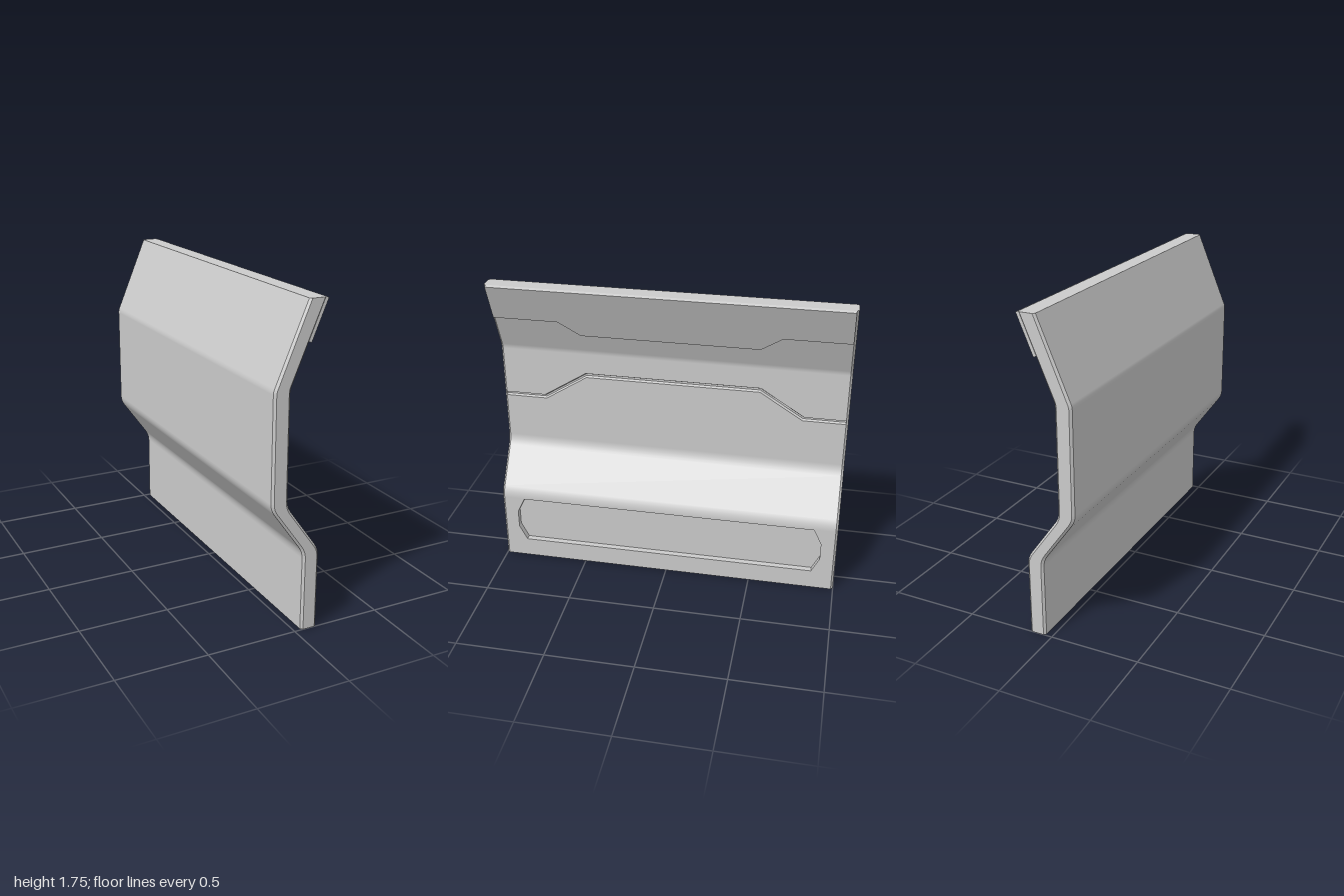
import * as THREE from 'three';

const material = new THREE.MeshStandardMaterial({ color: 0xcccccc, side: THREE.DoubleSide });
const V3 = (x, y, z) => new THREE.Vector3(x, y, z);
const V2 = (x, y) => new THREE.Vector2(x, y);
const BEVEL = 0.012, ZF = 1 - BEVEL, THICK = 0.0925;

// Surface through rows of points; flat shaded unless normals per point are given
function strip(rows, normals, skip = []) {
  const w = rows[0].length, idx = [];
  for (let r = 0; r < rows.length - 1; r++) {
    if (skip.includes(r)) continue;
    for (let c = 0; c < w - 1; c++) {
      const a = r * w + c, b = a + 1, d = a + w, e = d + 1;
      idx.push(a, b, e, a, e, d);
    }
  }
  let g = new THREE.BufferGeometry().setFromPoints(rows.flat());
  g.setIndex(idx);
  if (normals) {
    const flat = normals.flatMap((n) => Array(w).fill(n)).flatMap((n) => [n.x, n.y, 0]);
    g.setAttribute('normal', new THREE.Float32BufferAttribute(flat, 3));
  } else {
    g = g.toNonIndexed();
    g.computeVertexNormals();
  }
  return g;
}

// Flat outline (z, y) facing +x at a given x
function facePlate(points, x, hole) {
  const s = new THREE.Shape(points);
  if (hole) s.holes.push(new THREE.Path(hole));
  return new THREE.ShapeGeometry(s).rotateY(Math.PI / 2).translate(x, 0, 0);
}

// Mirror a half outline, given from the outside (+) to the middle
const mirror = (half) => [...half, ...half.slice().reverse().map((p) => V2(-p.x, p.y))];

export function createModel() {
  const group = new THREE.Group();
  const add = (name, geometry) => {
    const m = new THREE.Mesh(geometry, material);
    m.name = name;
    group.add(m);
    return m;
  };

  // Wall section: straight runs joined by rounded bends
  const bends = [
    [V2(0.13, 0.405), V2(0.13, 0.442), V2(0.108, 0.473)],
    [V2(-0.038, 0.677), V2(-0.06, 0.708), V2(-0.06, 0.74)],
    [V2(-0.06, 1.3), V2(-0.06, 1.315), V2(-0.0537, 1.33)],
  ];
  const pts = [V2(0.13, 0)], tans = [V2(0, 1)];
  for (const b of bends) {
    const c = new THREE.QuadraticBezierCurve(...b);
    for (let i = 0; i <= 4; i++) {
      pts.push(c.getPoint(i / 4));
      tans.push(c.getTangent(i / 4));
    }
  }
  pts.push(V2(0.1227, 1.75));
  tans.push(V2(0.42, 1).normalize());
  const last = pts.length - 1;
  const nFront = tans.map((t) => V2(t.y, -t.x));
  const nBack = nFront.map((n) => n.clone().negate());
  const back = pts.map((p) => V2(p.x - THICK, p.y));
  const inset = (list, norms) => list.map((p, i) => {
    const q = p.clone().addScaledVector(norms[i], -BEVEL);
    if (i === 0 || i === last) q.y = p.y;
    return q;
  });
  const frontIn = inset(pts, nFront), backIn = inset(back, nBack);
  const at = (p, z) => V3(p.x, p.y, z);

  // Main skins; the two vertical runs of the detailed side are added below
  add('detailedSideBends', strip(pts.map((p) => [at(p, ZF), at(p, -ZF)]), nFront, [0, 10]));
  add('plainSide', strip(back.map((p) => [at(p, -ZF), at(p, ZF)]), nBack));

  // Bevelled ends
  for (const s of [1, -1]) {
    const rows = pts.map((p, i) => {
      const row = [at(back[i], s * ZF), at(backIn[i], s), at(frontIn[i], s), at(p, s * ZF)];
      return s > 0 ? row : row.reverse();
    });
    add(s > 0 ? 'frontEnd' : 'backEnd', strip(rows));
  }

  // Top and bottom edges
  for (const i of [0, last]) {
    const rows = [
      [at(backIn[i], 1), at(frontIn[i], 1)], [at(back[i], ZF), at(pts[i], ZF)],
      [at(back[i], -ZF), at(pts[i], -ZF)], [at(backIn[i], -1), at(frontIn[i], -1)],
    ];
    add(i ? 'topEdge' : 'bottomEdge', strip(i ? rows : rows.reverse()));
  }

  // Lower run with a long recessed panel
  const recess = mirror([V2(0.865, 0.115), V2(0.91, 0.205), V2(0.91, 0.31), V2(0.865, 0.402)]
    .reverse()).slice();
  const outline = [V2(-ZF, 0), V2(ZF, 0), V2(ZF, 0.405), V2(-ZF, 0.405)];
  const ordered = [...recess.slice(0, 4), ...recess.slice(4)];
  const DEPTH = 0.035;
  add('lowerWall', facePlate(outline, 0.13, ordered));
  add('recessFloor', facePlate(ordered, 0.13 - DEPTH));
  const ring = [...ordered, ordered[0]];
  add('recessWalls', strip([
    ring.map((p) => V3(0.13, p.y, p.x)),
    ring.map((p) => V3(0.13 - DEPTH, p.y, p.x)),
  ]));

  // Middle run, split by a cranked groove
  const low = mirror([V2(ZF, 1.0), V2(0.745, 1.0), V2(0.5, 1.155)]);
  const high = mirror([V2(ZF, 1.022), V2(0.755, 1.022), V2(0.505, 1.18)]);
  add('middleWallLower', facePlate([V2(-ZF, 0.74), V2(ZF, 0.74), ...low], -0.06));
  add('middleWallUpper', facePlate([V2(ZF, 1.3), V2(-ZF, 1.3), ...high.slice().reverse()], -0.06));
  const grooveRow = (t, x) => low.map((p, i) => {
    const q = p.clone().lerp(high[i], t);
    return V3(x, q.y, q.x);
  });
  const groove = [grooveRow(0, -0.06), grooveRow(0.25, -0.077),
    grooveRow(0.65, -0.077), grooveRow(1, -0.06)];
  add('groove', strip(groove));
  for (const c of [0, low.length - 1]) {
    add('grooveEnd', strip([[groove[0][c], groove[1][c]], [groove[3][c], groove[2][c]]]));
  }

  // Raised plate on the leaning top run, with a dropped middle
  const lean = Math.atan(0.42), k = 1 / Math.cos(lean);
  const plateHalf = [V2(ZF, 0), V2(ZF, -0.21 * k), V2(0.62, -0.21 * k), V2(0.5, -0.297 * k)];
  const plate = new THREE.ExtrudeGeometry(new THREE.Shape(mirror(plateHalf)),
    { depth: 0.018, bevelEnabled: false });
  plate.rotateY(Math.PI / 2).rotateZ(-lean).translate(pts[last].x, pts[last].y, 0);
  add('topPlate', plate);

  return group;
}
